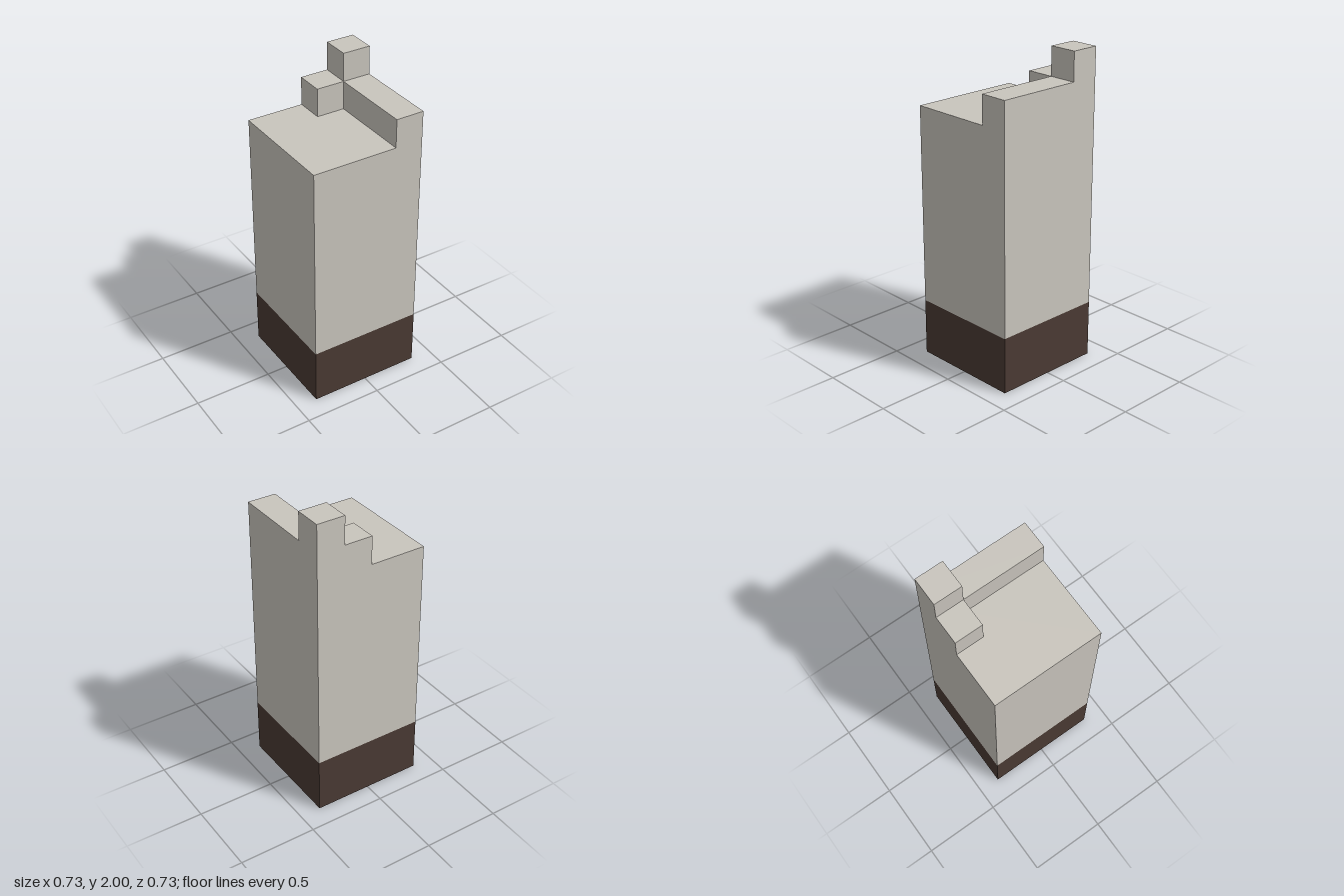
import * as THREE from 'three';

// Everything sits on a grid: the pillar is 4 x 11 x 4 cells
const U = 2 / 11;

export function createModel() {
  const group = new THREE.Group();
  const stone = new THREE.MeshStandardMaterial({ color: 0xc9c5bd });
  stone.name = 'pale stone';
  const earth = new THREE.MeshStandardMaterial({ color: 0x4a3a33 });
  earth.name = 'dark brown';

  // Box from its lowest corner and size, in cells
  function block(name, material, [x, y, z], [w, h, d]) {
    const mesh = new THREE.Mesh(new THREE.BoxGeometry(w * U, h * U, d * U), material);
    mesh.position.set((x + w / 2) * U, (y + h / 2) * U, (z + d / 2) * U);
    mesh.name = name;
    group.add(mesh);
  }

  block('base', earth, [-2, 0, -2], [4, 2, 4]);
  block('shaft', stone, [-2, 2, -2], [4, 7, 4]);

  // Broken wall remains on top: side ledge, back step and corner peak
  block('sideLedge', stone, [1, 9, -2], [1, 1, 4]);
  block('backStep', stone, [0, 9, -2], [1, 1, 1]);
  block('cornerPeak', stone, [1, 10, -2], [1, 1, 1]);

  return group;
}
